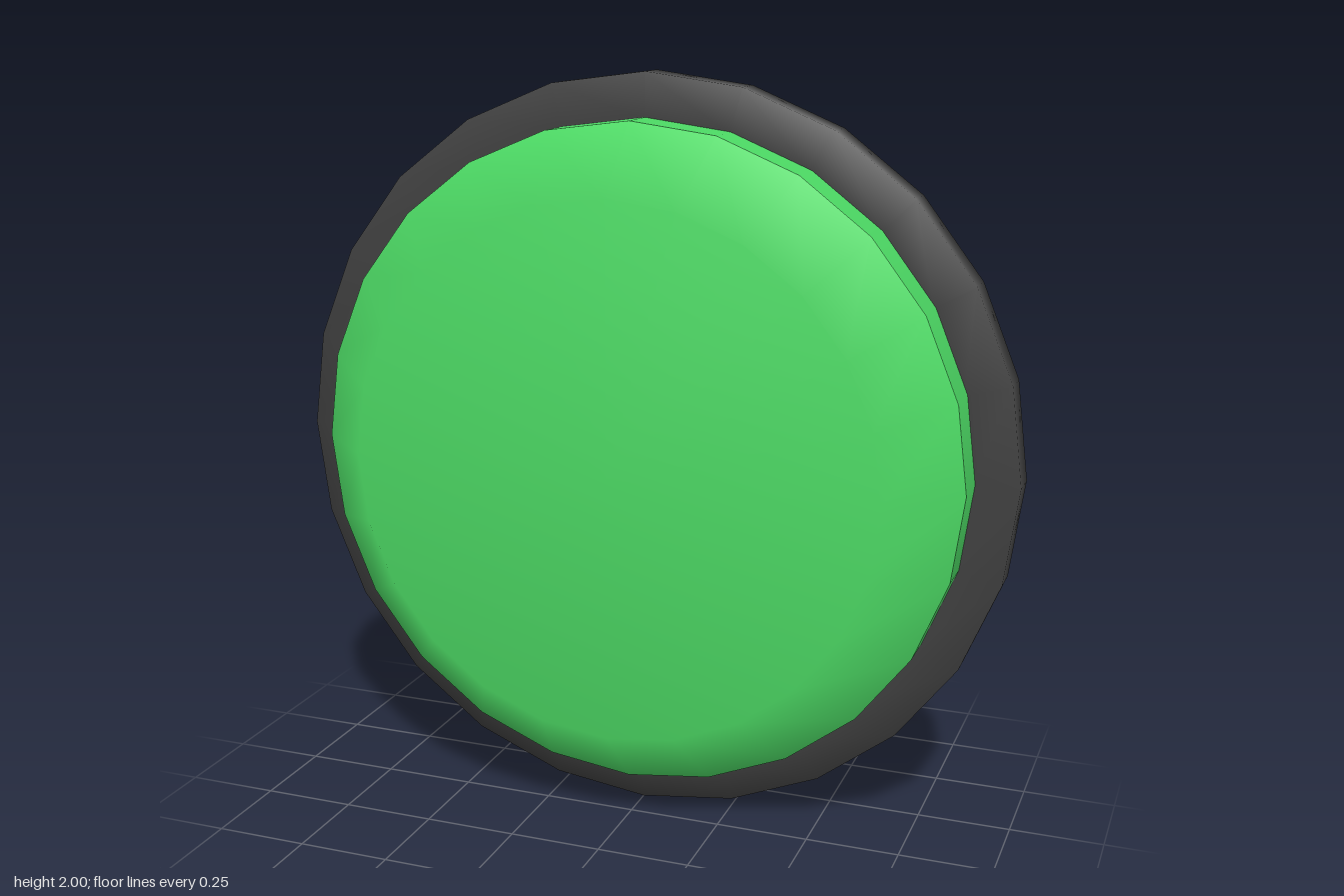
import * as THREE from 'three';

const SIDES = 24;

// Smooth round part turned about the z axis; profile points are [radius, z]
function turned(name, profile, material) {
  const points = profile.map(([r, z]) => new THREE.Vector2(r, z));
  const geometry = new THREE.LatheGeometry(points, SIDES);
  geometry.normalizeNormals();
  geometry.rotateX(Math.PI / 2);
  const mesh = new THREE.Mesh(geometry, material);
  mesh.name = name;
  mesh.position.y = 1;
  return mesh;
}

export function createModel() {
  const green = new THREE.MeshStandardMaterial({ name: 'green', color: 0x4cd964 });
  const darkGrey = new THREE.MeshStandardMaterial({ name: 'darkGrey', color: 0x404040 });

  const group = new THREE.Group();
  group.name = 'roundButton';

  // Backing plate whose rim shows around the button
  group.add(turned('backPlate',
    [[0, -0.185], [0.88, -0.185], [1, -0.185], [1, -0.097], [0.88, -0.097]], darkGrey));

  // Straight wall and bevelled cap of the button
  group.add(turned('buttonWall', [[0.885, -0.1], [0.885, 0.02]], green));
  group.add(turned('buttonCap', [[0.885, 0.02], [0.71, 0.185], [0, 0.185]], green));

  return group;
}
